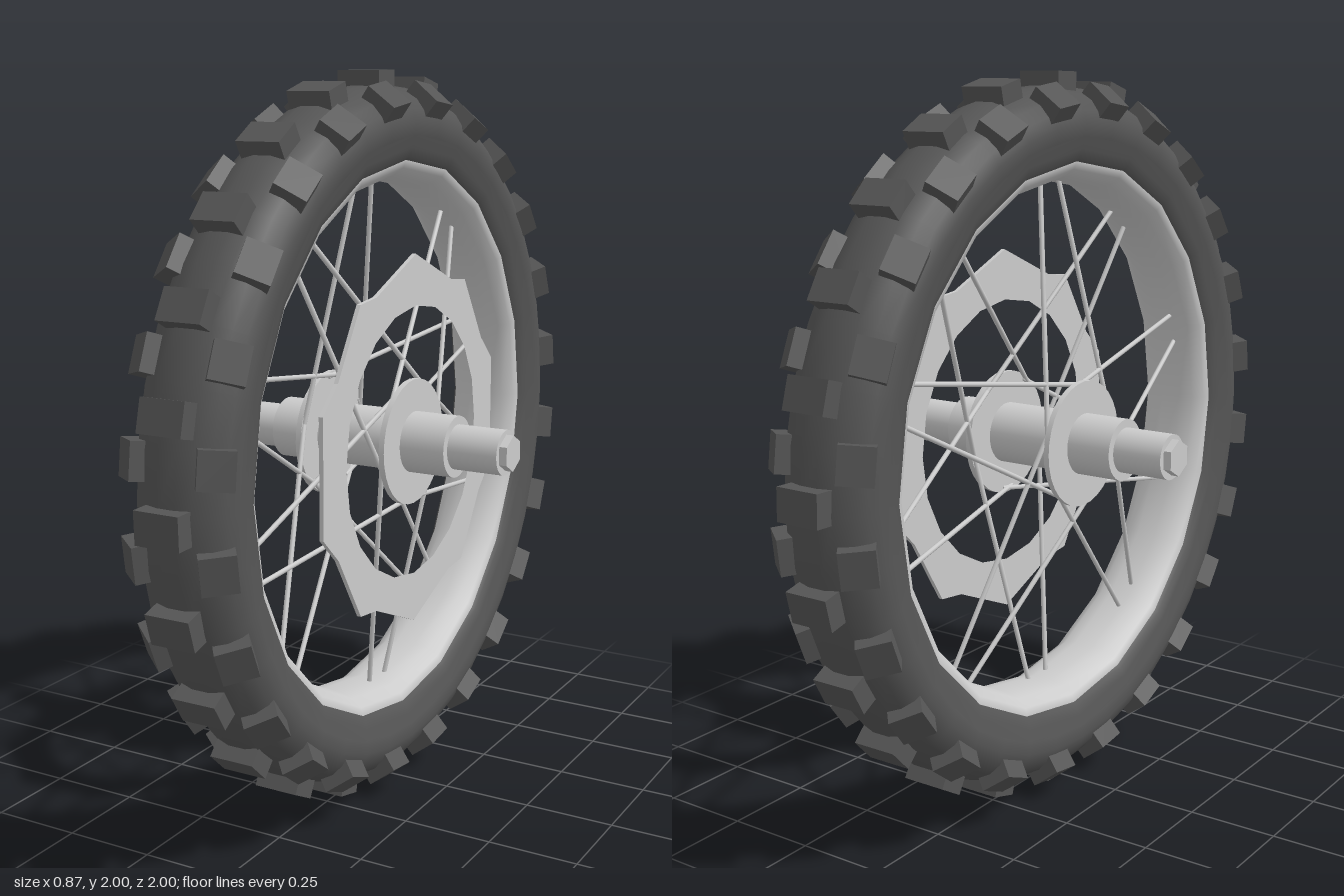
import * as THREE from 'three';

const grey = new THREE.MeshStandardMaterial({ color: 0xcccccc });
const greyFlat = new THREE.MeshStandardMaterial({ color: 0xcccccc, flatShading: true });
const rubber = new THREE.MeshStandardMaterial({ color: 0x555555 });
const rubberFlat = new THREE.MeshStandardMaterial({ color: 0x555555, flatShading: true });
const rad = THREE.MathUtils.degToRad;

export function createModel() {
  const wheel = new THREE.Group();
  wheel.name = 'wheel';
  wheel.position.y = 1;

  const add = (name, geometry, material, parent = wheel) => {
    const mesh = new THREE.Mesh(geometry, material);
    mesh.name = name;
    parent.add(mesh);
    return mesh;
  };
  // Ring around the x axis from [radius, x] points
  const ring = (name, points, segments, material) => {
    const geo = new THREE.LatheGeometry(points.map(p => new THREE.Vector2(...p)), segments);
    add(name, geo.rotateZ(-Math.PI / 2), material);
  };
  // Cylinder along x between two positions
  const barrel = (name, radius, x0, x1, sides = 32, material = grey) => {
    const geo = new THREE.CylinderGeometry(radius, radius, x1 - x0, sides);
    if (sides === 6) geo.rotateY(Math.PI / 6);
    add(name, geo.rotateZ(-Math.PI / 2).translate((x0 + x1) / 2, 0, 0), material);
  };
  // Closes a half profile by mirroring it in x
  const mirrored = half => [...half.map(([r, x]) => [r, -x]), ...half.slice().reverse()];

  // Tyre carcass, with a coarser bead against the rim
  ring('tyre', mirrored([[0.8, 0.122], [0.83, 0.135], [0.865, 0.14], [0.9, 0.128],
    [0.93, 0.104], [0.952, 0.065], [0.964, 0.025]]), 40, rubber);
  for (const s of [-1, 1]) {
    const bead = [[0.762, 0.104], [0.775, 0.118], [0.8, 0.127], [0.835, 0.136]];
    ring('tyreBead', s > 0 ? bead.reverse() : bead.map(([r, x]) => [r, -x]), 20,
      new THREE.MeshStandardMaterial({ color: 0x555555, side: THREE.DoubleSide }));
  }

  // Tread blocks: a centre row and two tilted shoulder rows
  const centreBlock = new THREE.BoxGeometry(0.125, 0.07, 0.085);
  const shoulderBlock = new THREE.BoxGeometry(0.09, 0.08, 0.095);
  for (let i = 0; i < 24; i++) {
    const centre = new THREE.Group();
    centre.name = 'centreTread';
    centre.rotation.x = rad(i * 15 + 1.4);
    add('centreBlock', centreBlock, rubberFlat, centre).position.y = 0.965;
    const shoulders = new THREE.Group();
    shoulders.name = 'shoulderTread';
    shoulders.rotation.x = rad(i * 15 + 7.8);
    for (const s of [-1, 1]) {
      const block = add('shoulderBlock', shoulderBlock, rubberFlat, shoulders);
      block.position.set(s * 0.105, 0.916, 0);
      block.rotation.z = -s * rad(38);
    }
    wheel.add(centre, shoulders);
  }

  // Rim with a shallow flared well
  ring('rim', [[0.8, -0.1], [0.8, 0.1], [0.77, 0.11], [0.745, 0.1], [0.725, 0.07], [0.716, 0.03],
    [0.716, -0.03], [0.725, -0.07], [0.745, -0.1], [0.77, -0.11], [0.8, -0.1]], 20, grey);

  // Hub, axle and hexagonal ends
  barrel('hub', 0.085, -0.27, 0.27);
  barrel('axle', 0.062, -0.415, 0.415);
  barrel('axleNut', 0.05, -0.437, 0.437, 6, greyFlat);
  for (const s of [-1, 1]) barrel('hubFlange', 0.175, s * 0.13 - 0.008, s * 0.13 + 0.008);

  // Crossed spokes in pairs, alternating between the two flanges
  const up = new THREE.Vector3(0, 1, 0);
  const at = (x, r, deg) => new THREE.Vector3(x, r * Math.cos(rad(deg)), r * Math.sin(rad(deg)));
  for (let i = 0; i < 10; i++) {
    const side = i % 2 ? 1 : -1;
    for (const s of [-1, 1]) {
      const a = at(side * 0.125, 0.162, i * 36 + s * 80);
      const b = at(side * 0.02, 0.72, i * 36 + s * 3.4);
      const dir = b.clone().sub(a);
      const spoke = add('spoke', new THREE.CylinderGeometry(0.007, 0.007, dir.length(), 8), grey);
      spoke.position.copy(a).add(b).multiplyScalar(0.5);
      spoke.quaternion.setFromUnitVectors(up, dir.normalize());
    }
  }

  // Brake disc with ten points and a round opening
  const half = [[0, 0.518], [27, 0.478], [36, 0.515], [61, 0.478], [72, 0.518], [90, 0.492],
    [108, 0.518], [119, 0.478], [144, 0.515], [153, 0.478], [180, 0.518]];
  const outline = [...half, ...half.slice(1, -1).reverse().map(([a, r]) => [360 - a, r])];
  const disc = new THREE.Shape(outline.map(([a, r]) =>
    new THREE.Vector2(r * Math.sin(rad(a)), r * Math.cos(rad(a)))));
  const hole = [];
  for (let i = 0; i < 20; i++) {
    hole.push(new THREE.Vector2(0.378 * Math.sin(rad(i * 18)), 0.378 * Math.cos(rad(i * 18))));
  }
  disc.holes.push(new THREE.Path(hole));
  const discGeo = new THREE.ExtrudeGeometry(disc, { depth: 0.012, bevelEnabled: false });
  add('brakeDisc', discGeo.rotateY(Math.PI / 2).translate(0.128, 0, 0), greyFlat);

  const model = new THREE.Group();
  model.name = 'spokedWheel';
  model.add(wheel);
  return model;
}
